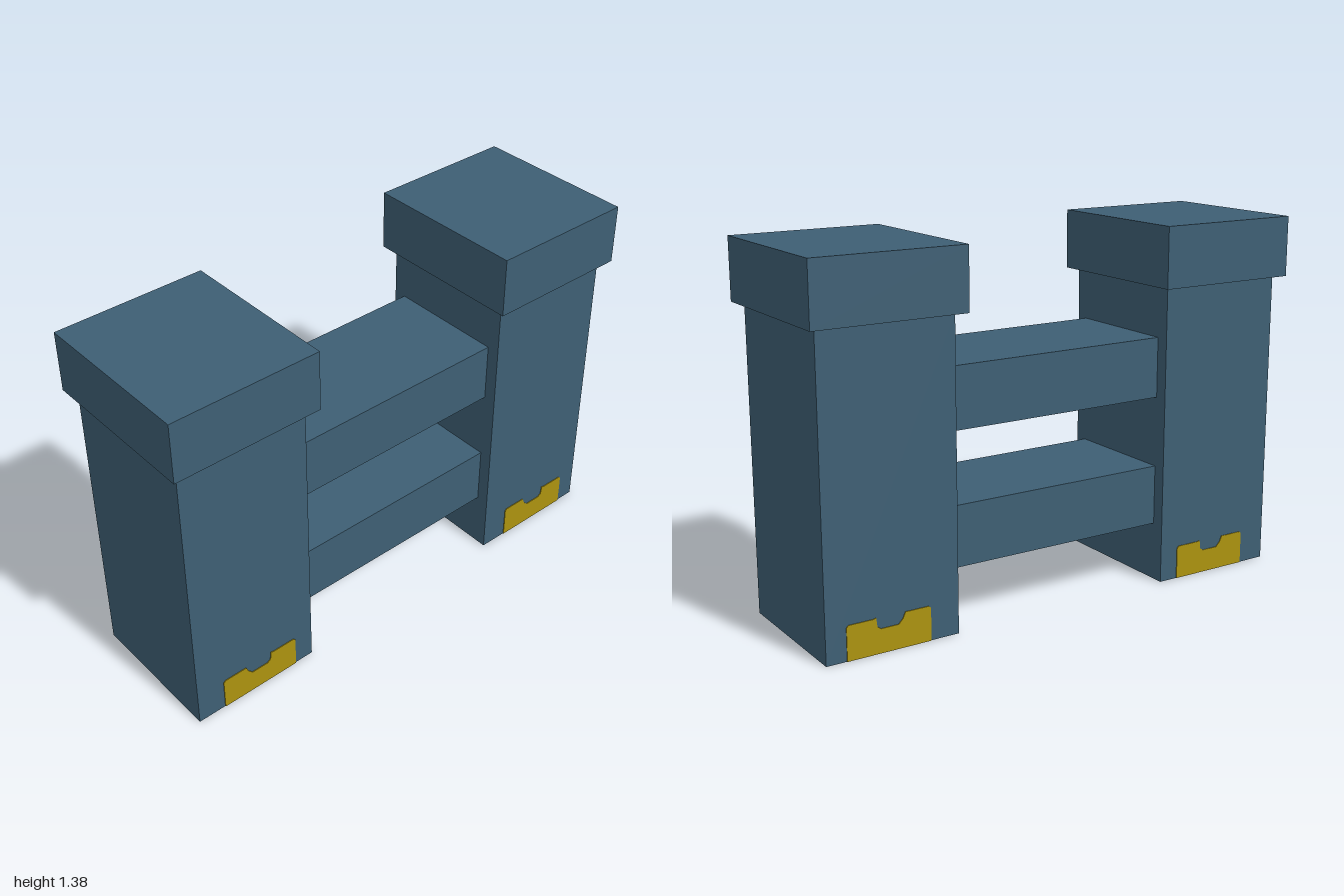
import * as THREE from 'three';

const blue = new THREE.MeshStandardMaterial({ color: 0x3e5f74, side: THREE.DoubleSide });
blue.name = 'slate blue';
const yellow = new THREE.MeshStandardMaterial({ color: 0xac930f, side: THREE.DoubleSide });
yellow.name = 'mustard yellow';

function add(parent, name, geometry, material, x, y, z) {
  const mesh = new THREE.Mesh(geometry, material);
  mesh.name = name;
  mesh.position.set(x, y, z);
  parent.add(mesh);
  return mesh;
}

// Hollow square tube, open at the top and bottom
function tubeGeometry(w, h, d) {
  const g = new THREE.BoxGeometry(w, h, d);
  const index = Array.from(g.index.array);
  index.splice(12, 12); // drop the top and bottom faces
  g.setIndex(index);
  g.clearGroups();
  return g;
}

// Notched plate in the z-y plane, straddling the thin wall
function markGeometry() {
  const points = [
    [0.53, 0], [0.855, 0], [0.855, 0.122], [0.847, 0.13], [0.755, 0.13],
    [0.745, 0.108], [0.728, 0.09], [0.66, 0.09], [0.646, 0.1],
    [0.642, 0.133], [0.63, 0.13], [0.538, 0.13], [0.53, 0.122],
  ];
  const shape = new THREE.Shape(points.map(([z, y]) => new THREE.Vector2(z, y)));
  const g = new THREE.ExtrudeGeometry(shape, { depth: 0.006, bevelEnabled: false });
  g.translate(0, 0, -0.003);
  g.rotateY(-Math.PI / 2);
  return g;
}

export function createModel() {
  const model = new THREE.Group();
  model.name = 'barrier';
  const post = tubeGeometry(0.56, 1.15, 0.515);
  const cap = new THREE.BoxGeometry(0.64, 0.23, 0.58);
  const rail = new THREE.BoxGeometry(0.46, 0.23, 0.905);
  const mark = markGeometry();

  // Front and back posts with caps and painted foot marks
  for (const [name, side] of [['front', 1], ['back', -1]]) {
    const group = new THREE.Group();
    group.name = name + 'Post';
    add(group, 'post', post, blue, 0, 0.575, side * 0.71);
    add(group, 'cap', cap, blue, 0, 1.265, side * 0.71);
    for (const x of [-0.28, 0.28]) {
      add(group, 'footMark', mark, yellow, x, 0, side > 0 ? 0 : -1.42);
    }
    model.add(group);
  }

  // Rails joining the posts
  add(model, 'lowerRail', rail, blue, 0, 0.34, 0);
  add(model, 'upperRail', rail, blue, 0, 0.84, 0);
  return model;
}
